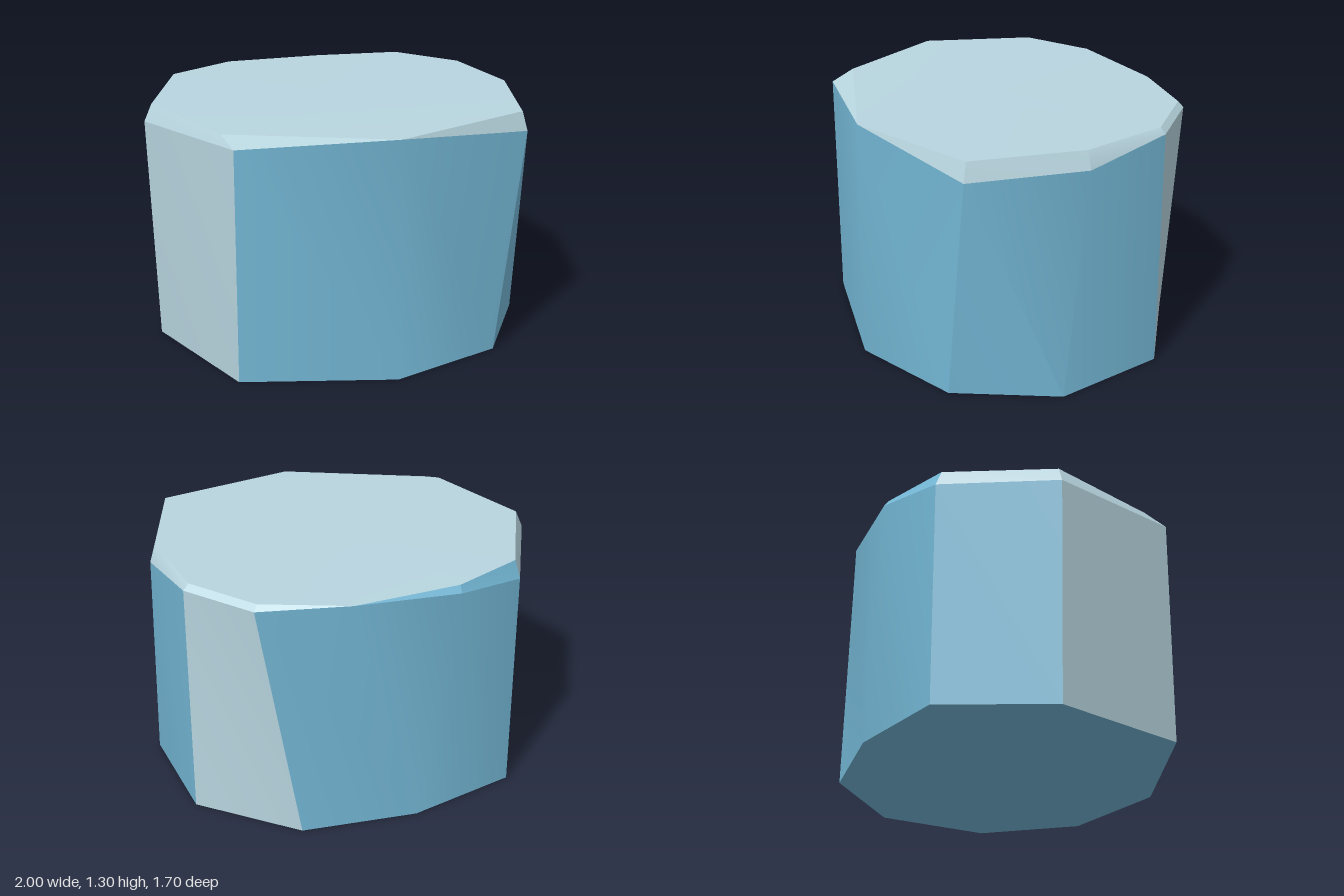
import * as THREE from 'three';
import { toCreasedNormals } from 'three/addons/utils/BufferGeometryUtils.js';

// Corner rings, clockwise from above, starting at the back.
const base = [
  [-0.15, 0, -0.85], [-0.15, 0, -0.85], [0.46, 0, -0.81], [0.93, 0, -0.42], [1, 0, 0.2],
  [0.67, 0, 0.68], [0.06, 0, 0.85], [-0.72, 0, 0.61], [-0.96, 0, -0.11], [-0.73, 0, -0.69],
];
const rim = [
  [-0.35, 1.265, -0.85], [0.2, 1.285, -0.85], [0.66, 1.27, -0.74], [0.93, 1.27, -0.42], [1, 1.205, 0.07],
  [0.82, 1.2, 0.665], [0.06, 1.285, 0.84], [-0.72, 1.245, 0.615], [-1, 1.21, -0.11], [-0.73, 1.21, -0.69],
];
const crown = [
  [-0.35, 1.3, -0.825], [0.2, 1.285, -0.85], [0.64, 1.3, -0.72], [0.9, 1.3, -0.41], [0.97, 1.3, 0.07],
  [0.8, 1.3, 0.64], [0.06, 1.285, 0.84], [-0.745, 1.288, 0.48], [-0.96, 1.3, -0.11], [-0.715, 1.3, -0.655],
];
const N = base.length;

// Builds a mesh from triangles, leaving out collapsed ones.
function patch(name, triangles, material) {
  const kept = triangles.filter(([a, b, c]) =>
    new THREE.Triangle(...[a, b, c].map((p) => new THREE.Vector3(...p))).getArea() > 1e-6);
  const geometry = new THREE.BufferGeometry();
  geometry.setAttribute('position', new THREE.Float32BufferAttribute(kept.flat(2), 3));
  const mesh = new THREE.Mesh(toCreasedNormals(geometry, 0.6), material);
  mesh.name = name;
  return mesh;
}

// Band of faces between two rings, over `count` sides from corner `start`.
function band(lower, upper, start, count) {
  const out = [];
  for (let k = 0; k < count; k++) {
    const i = (start + k) % N, j = (i + 1) % N;
    out.push([lower[i], upper[i], upper[j]], [lower[i], upper[j], lower[j]]);
  }
  return out;
}

// Fan closing a ring; `up` sets the way it faces.
function cap(ring, centre, up) {
  return ring.map((p, i) => {
    const q = ring[(i + 1) % N];
    return up ? [centre, q, p] : [centre, p, q];
  });
}

export function createModel() {
  const blue = new THREE.MeshStandardMaterial({ color: 0x74b8d6 });
  blue.name = 'blue';
  const pale = new THREE.MeshStandardMaterial({ color: 0xb8d5df });
  pale.name = 'paleBlueGrey';

  const group = new THREE.Group();
  group.name = 'iceBlock';

  // Walls: [name, first corner, sides, material]
  const walls = [
    ['backWall', 9, 3, blue], ['backLeftFacet', 2, 1, pale], ['leftWall', 3, 2, blue],
    ['frontWall', 5, 2, blue], ['frontRightFacet', 7, 1, pale], ['backRightWall', 8, 1, blue],
  ];
  for (const [name, start, count, material] of walls) {
    group.add(patch(name, band(base, rim, start, count), material));
  }

  // Chipped edge between the walls and the top
  for (let i = 0; i < N; i++) {
    const material = i === 0 || i === 9 ? blue : pale;
    group.add(patch('chippedEdge', band(rim, crown, i, 1), material));
  }

  group.add(patch('topFace', cap(crown, [0, 1.297, 0], true), pale));
  group.add(patch('underside', cap(base, [0, 0, 0], false), blue));
  return group;
}
